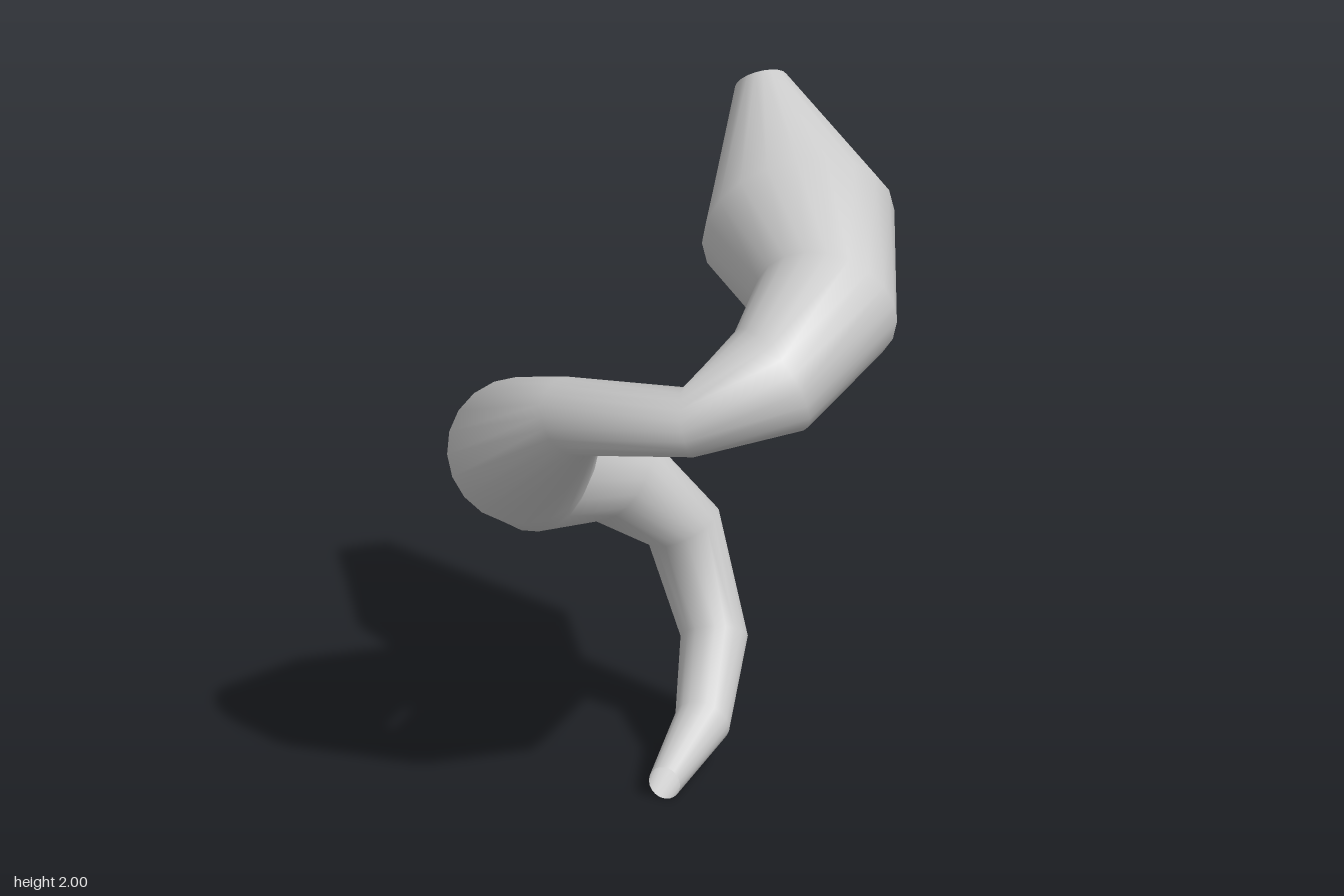
import * as THREE from 'three';

const SIDES = 20;

// Rings along the spiral, from the low tip to the top: x, y, z, radius
const RINGS = [
  [-0.03, 0.05, 0.11, 0.048],
  [-0.03, 0.13, -0.16, 0.08],
  [-0.09, 0.295, -0.385, 0.095],
  [-0.195, 0.605, -0.41, 0.11],
  [-0.335, 0.825, -0.225, 0.15],
  [-0.46, 0.915, 0.03, 0.182],
  [-0.38, 1.095, 0.315, 0.212],
  [-0.145, 1.315, 0.5, 0.113],
  [0.215, 1.36, 0.505, 0.1],
  [0.4, 1.46, 0.345, 0.172],
  [0.43, 1.555, 0.03, 0.208],
  [0.21, 1.645, -0.287, 0.278],
  [-0.015, 1.95, -0.545, 0.075],
];

// Open tube whose radius changes from ring to ring
function taperedTube(rings) {
  const centres = rings.map(([x, y, z]) => new THREE.Vector3(x, y, z));
  const last = centres.length - 1;
  const step = (i) => centres[i + 1].clone().sub(centres[i]).normalize();
  const positions = [];
  const indices = [];
  const side = new THREE.Vector3(1, 0, 0);

  centres.forEach((centre, i) => {
    // Ring plane lies across the bend, leaning to the incoming segment
    let tangent;
    if (i === 0) tangent = new THREE.Vector3(0, 0, -1);
    else if (i === last) tangent = step(last - 1);
    else tangent = step(i - 1).multiplyScalar(0.65).addScaledVector(step(i), 0.35).normalize();

    // Carry the side direction along so the tube does not twist
    side.addScaledVector(tangent, -side.dot(tangent)).normalize();
    const up = tangent.clone().cross(side);
    for (let j = 0; j < SIDES; j++) {
      const a = (j / SIDES) * Math.PI * 2;
      const p = centre.clone()
        .addScaledVector(side, Math.cos(a) * rings[i][3])
        .addScaledVector(up, Math.sin(a) * rings[i][3]);
      positions.push(p.x, p.y, p.z);
      if (i < last) {
        const k = (j + 1) % SIDES;
        const p0 = i * SIDES + j, p1 = i * SIDES + k;
        indices.push(p0, p1, p1 + SIDES, p0, p1 + SIDES, p0 + SIDES);
      }
    }
  });

  const geometry = new THREE.BufferGeometry();
  geometry.setAttribute('position', new THREE.Float32BufferAttribute(positions, 3));
  geometry.setIndex(indices);
  geometry.computeVertexNormals();
  return geometry;
}

export function createModel() {
  const group = new THREE.Group();
  group.name = 'spiralTube';
  const material = new THREE.MeshStandardMaterial({ color: 0xcccccc, side: THREE.DoubleSide });
  const tube = new THREE.Mesh(taperedTube(RINGS), material);
  tube.name = 'coiledStrand';
  group.add(tube);
  return group;
}
